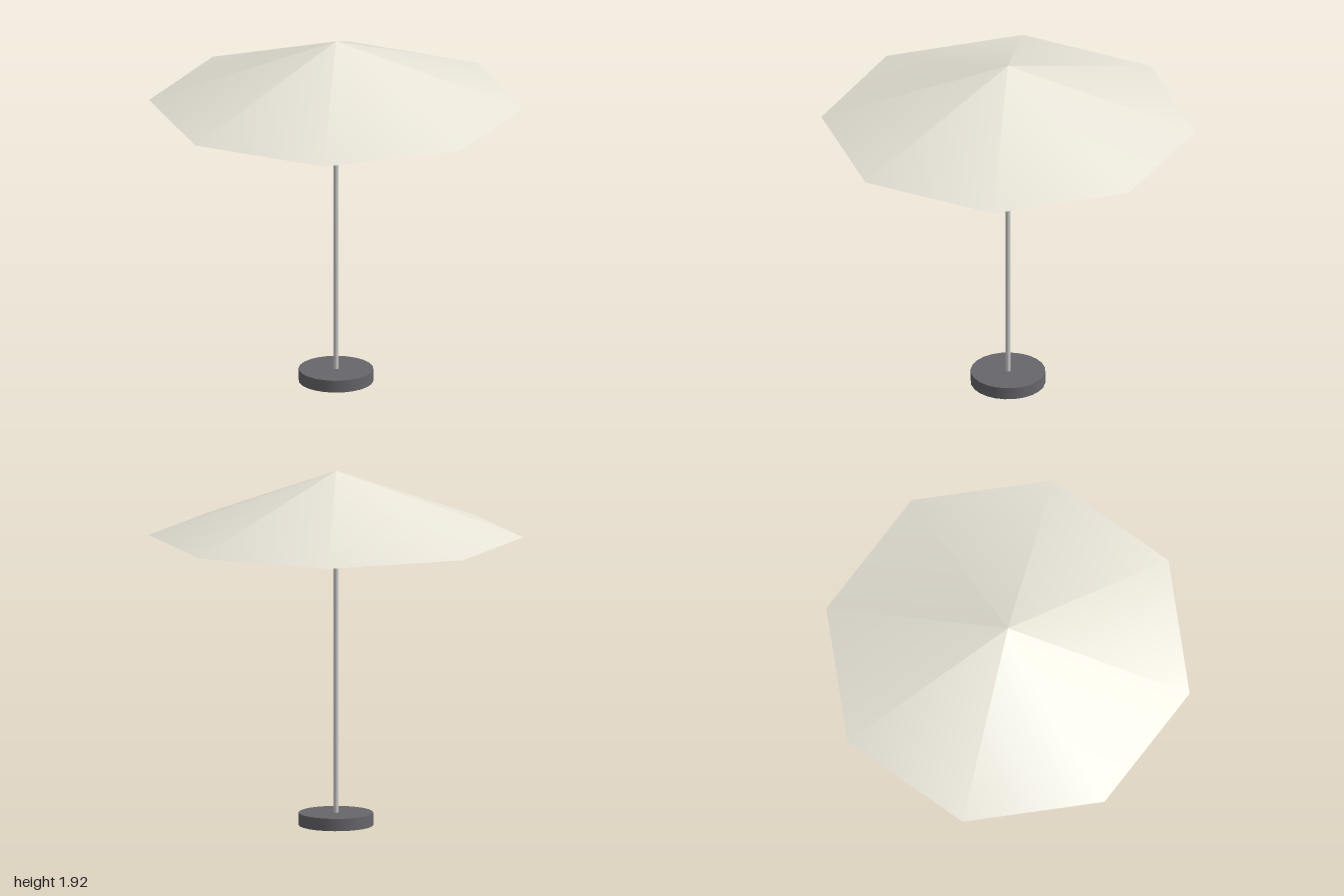
import * as THREE from 'three';

// Adds a named mesh whose underside sits at height y
function addPart(group, name, geometry, height, y, color) {
  const mesh = new THREE.Mesh(geometry, new THREE.MeshStandardMaterial({ color }));
  mesh.name = name;
  mesh.position.y = y + height / 2;
  group.add(mesh);
}

export function createModel() {
  const group = new THREE.Group();
  group.name = 'parasol';

  const baseHeight = 0.067;
  const canopyBottom = 1.565;
  const canopyHeight = 0.355;
  const poleHeight = canopyBottom - baseHeight + 0.1;

  // Heavy round foot
  addPart(group, 'base', new THREE.CylinderGeometry(0.2, 0.2, baseHeight, 24), baseHeight, 0, 0x66666b);
  // Slim pole, running a little way into the canopy
  addPart(group, 'pole', new THREE.CylinderGeometry(0.0135, 0.0135, poleHeight, 12), poleHeight, baseHeight, 0xcccccc);
  // Closed eight-sided canopy with corners on the x and z axes
  addPart(group, 'canopy', new THREE.ConeGeometry(1, canopyHeight, 8), canopyHeight, canopyBottom, 0xe8e4d8);

  return group;
}
